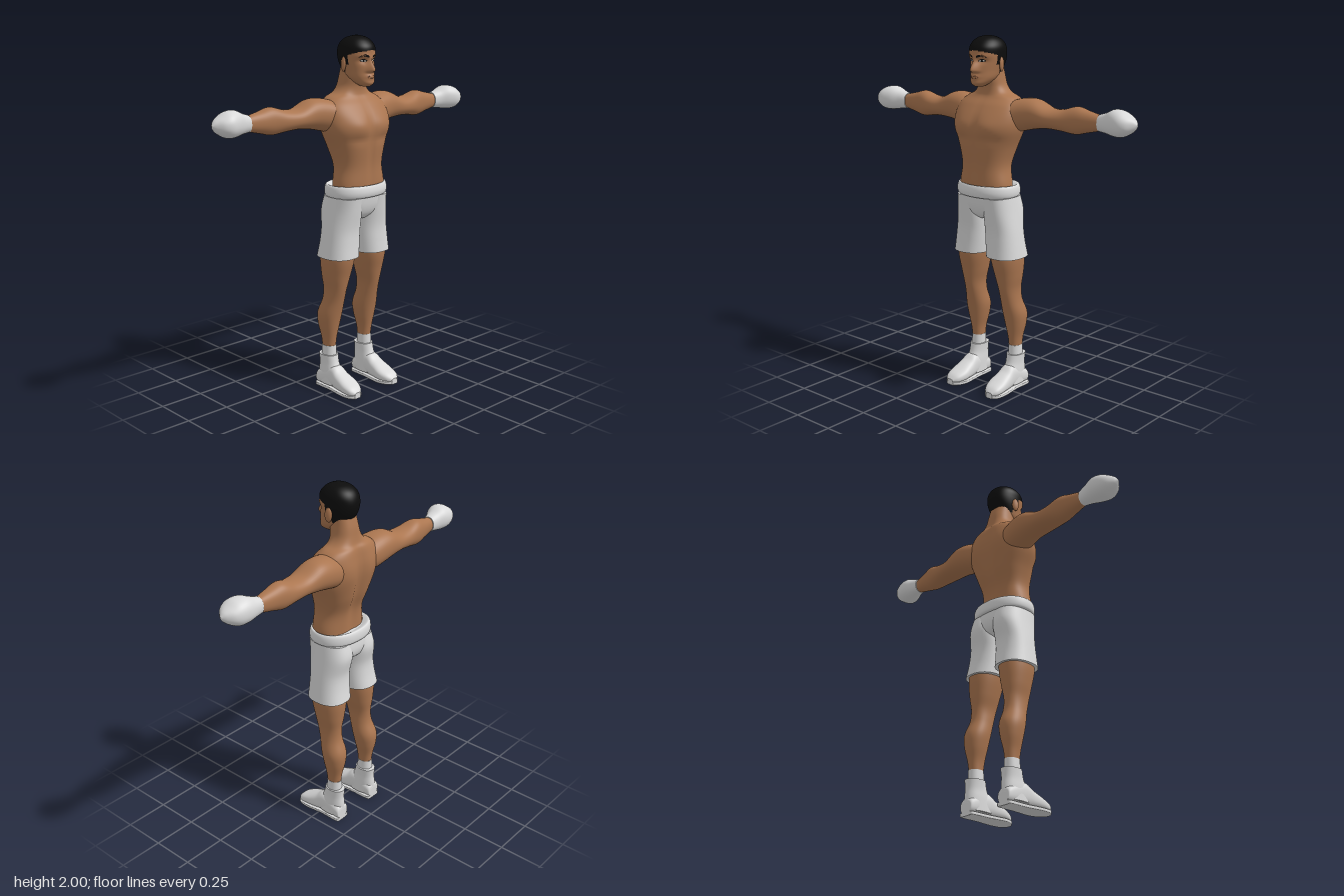
import * as THREE from 'three';

const mat = (name, color) => Object.assign(new THREE.MeshStandardMaterial({ color }), { name });
const g = (d, s) => Math.exp(-(d * d) / (2 * s * s));
const ramp = THREE.MathUtils.smoothstep;

// Smooth tube along axis k (0 x, 1 y, 2 z). Row: [t, aMin, aMax, bMin, bMax],
// where a and b are the next two axes in cyclic order. n is the superellipse power.
function loft(k, rows, { n = 2.2, segs = 40, steps = 6, shape, pick } = {}) {
  if (rows[0][0] > rows[rows.length - 1][0]) rows = [...rows].reverse();
  const cr = (p0, p1, p2, p3, t) => 0.5 * (2 * p1 + (p2 - p0) * t
    + (2 * p0 - 5 * p1 + 4 * p2 - p3) * t * t + (3 * p1 - p0 - 3 * p2 + p3) * t * t * t);
  const last = rows.length - 1, count = last * steps, pos = [], idx = [[], []];
  const at = i => pos.slice(i * 3, i * 3 + 3);
  const face = (...f) => {
    const c = [0, 1, 2].map(d => f.reduce((s, i) => s + pos[i * 3 + d], 0) / f.length);
    const out = idx[pick ? pick(...c) : 0];
    out.push(f[0], f[1], f[2]);
    if (f.length === 4) out.push(f[0], f[2], f[3]);
  };
  for (let i = 0; i <= count; i++) {
    const s = Math.min(Math.floor(i / steps), last - 1), u = i / steps - s;
    const [t, a0, a1, b0, b1] = rows[0].map((_, c) => cr(rows[Math.max(s - 1, 0)][c], rows[s][c],
      rows[s + 1][c], rows[Math.min(s + 2, last)][c], u));
    for (let j = 0; j < segs; j++) {
      const th = j / segs * Math.PI * 2, pw = v => Math.sign(v) * Math.abs(v) ** (2 / n);
      const p = new THREE.Vector3();
      p.setComponent(k, t);
      p.setComponent((k + 1) % 3, (a0 + a1) / 2 + (a1 - a0) / 2 * pw(Math.cos(th)));
      p.setComponent((k + 2) % 3, (b0 + b1) / 2 + (b1 - b0) / 2 * pw(Math.sin(th)));
      if (shape) shape(p);
      pos.push(p.x, p.y, p.z);
    }
  }
  for (let i = 0; i < count; i++) for (let j = 0; j < segs; j++) {
    const a = i * segs + j, b = i * segs + (j + 1) % segs;
    face(a, b, b + segs, a + segs);
  }
  // end caps with their own vertices, so the rims stay sharp
  for (const [ring, flip] of [[0, true], [count, false]]) {
    const base = pos.length / 3, mid = [0, 0, 0];
    for (let j = 0; j < segs; j++) {
      const v = at(ring * segs + j);
      pos.push(...v);
      v.forEach((x, d) => { mid[d] += x / segs; });
    }
    pos.push(...mid);
    for (let j = 0; j < segs; j++) {
      const a = base + j, b = base + (j + 1) % segs;
      flip ? face(b, a, base + segs) : face(a, b, base + segs);
    }
  }
  const geo = new THREE.BufferGeometry();
  geo.setAttribute('position', new THREE.Float32BufferAttribute(pos, 3));
  geo.setIndex([...idx[0], ...idx[1]]);
  if (pick) {
    geo.addGroup(0, idx[0].length, 0);
    geo.addGroup(idx[0].length, idx[1].length, 1);
  }
  geo.computeVertexNormals();
  return geo;
}

function mirror(geo) {
  const m = geo.clone().scale(-1, 1, 1), ix = m.index.array;
  for (let i = 0; i < ix.length; i += 3) [ix[i], ix[i + 1]] = [ix[i + 1], ix[i]];
  return m;
}

export function createModel() {
  const root = new THREE.Group();
  root.name = 'boxer';
  const skin = mat('skin', 0xab7650), white = mat('white cloth', 0xdadada), black = mat('black hair', 0x0c0c0c);
  const lips = mat('lips', 0x7c4c36), eyeWhite = mat('eye white', 0xe8e4dc);
  const add = (name, geo, material) => {
    const m = new THREE.Mesh(geo, material);
    m.name = name;
    root.add(m);
    return m;
  };
  const pair = (name, geo, material) => {
    add(name + 'Left', geo, material);
    add(name + 'Right', mirror(geo), material);
  };
  const sym = rows => rows.map(([y, z0, z1, x]) => [y, z0, z1, -x, x]);

  // Torso and neck, with chest, belly line, spine and shoulder blades
  add('torso', loft(1, sym([
    [1.12, -.09, .11, .155], [1.2, -.09, .115, .158], [1.3, -.1, .115, .142], [1.4, -.135, .124, .165],
    [1.5, -.155, .13, .205], [1.57, -.158, .112, .212], [1.63, -.15, .075, .2], [1.67, -.14, .04, .16],
    [1.695, -.125, .03, .108], [1.73, -.115, .03, .08], [1.78, -.105, .04, .07], [1.83, -.09, .03, .065],
  ]), {
    n: 2.4, segs: 80, shape: p => {
      const ax = Math.abs(p.x);
      if (p.z > 0) {
        p.z += .012 * g(ax - .085, .05) * g(p.y - 1.525, .035) - .009 * g(p.x, .014) * g(p.y - 1.4, .15)
          - .007 * g(ax - .09, .05) * g(p.y - 1.45, .015);
      } else {
        p.z += .022 * g(p.x, .024) * g(p.y - 1.43, .17) - .008 * g(ax - .1, .04) * g(p.y - 1.56, .06);
      }
    },
  }), skin);

  // Arms and gloves
  pair('arm', loft(0, [
    [.08, 1.5, 1.635, -.13, .03], [.15, 1.485, 1.66, -.148, .045], [.22, 1.5, 1.675, -.156, .03],
    [.29, 1.515, 1.672, -.155, .018], [.38, 1.525, 1.635, -.145, .012], [.46, 1.52, 1.635, -.142, 0],
    [.54, 1.51, 1.655, -.138, -.018], [.61, 1.525, 1.64, -.125, -.03], [.7, 1.545, 1.62, -.108, -.047],
  ]), skin);
  pair('glove', loft(0, [
    [.685, 1.54, 1.628, -.116, -.04], [.73, 1.535, 1.643, -.125, -.025], [.78, 1.527, 1.664, -.137, 0],
    [.83, 1.527, 1.66, -.135, .012], [.87, 1.545, 1.64, -.12, -.002], [.9, 1.568, 1.62, -.09, -.035],
    [.915, 1.59, 1.6, -.066, -.056],
  ]), white);

  // Shorts
  add('waistband', loft(1, sym([
    [1.128, -.13, .115, .165], [1.136, -.147, .131, .182], [1.16, -.151, .137, .187], [1.188, -.147, .132, .183],
    [1.198, -.135, .122, .172], [1.18, -.1, .1, .15],
  ]), { segs: 64 }), white);
  add('shortsSeat', loft(1, sym([
    [1.15, -.132, .115, .168], [1.08, -.138, .105, .172], [1.03, -.12, .085, .13], [1, -.07, .05, .07],
  ]), { n: 2.4 }), white);
  pair('shortsLeg', loft(1, [
    [1.13, -.13, .112, .005, .172], [1.05, -.147, .1, .001, .184], [.95, -.127, .085, .003, .2],
    [.87, -.13, .085, .007, .211], [.79, -.145, .09, .013, .222],
  ], { n: 2.4 }), white);

  // Legs
  pair('leg', loft(1, [
    [.9, -.12, .075, .03, .2], [.78, -.132, .074, .036, .205], [.68, -.125, .052, .055, .195],
    [.6, -.115, .034, .075, .182], [.53, -.12, .015, .076, .185], [.45, -.15, -.005, .072, .2],
    [.38, -.148, -.02, .082, .194], [.3, -.13, -.035, .1, .177], [.22, -.12, -.045, .105, .17],
  ]), skin);

  // Socks and shoes
  pair('sock', loft(1, [[.15, -.127, -.035, .1, .178], [.255, -.126, -.04, .102, .174]]), white);
  pair('shoeAnkle', loft(1, [
    [.03, -.15, .03, .09, .19], [.1, -.149, .012, .092, .186], [.15, -.145, -.015, .095, .182],
    [.2, -.148, -.028, .092, .184],
  ]), white);
  const footRows = [
    [-.15, .11, .175, .015, .07], [-.135, .095, .188, .012, .1], [-.03, .092, .188, .01, .145],
    [.03, .087, .195, .01, .113], [.09, .083, .2, .01, .084], [.14, .1, .192, .01, .06], [.165, .128, .168, .018, .035],
  ];
  pair('shoeFoot', loft(2, footRows, { n: 2.5 }), white);
  pair('shoeSole', loft(2, footRows.map(([z, a, b]) => [z, a - .003, b + .003, 0, .022]), { n: 6 }), white);

  // Head: shaped face, with hair above the hairline
  const hairline = z => z < -.01 ? 1.803 : z < .025 ? 1.85 : 1.9 + (z - .025) * .28;
  const head = add('head', loft(1, sym([
    [1.733, .035, .098, .022], [1.75, 0, .117, .045], [1.78, -.05, .111, .067], [1.82, -.085, .107, .077],
    [1.86, -.107, .105, .086], [1.9, -.115, .109, .091], [1.94, -.108, .106, .09], [1.97, -.088, .084, .074],
    [1.99, -.054, .053, .048], [2, -.012, .015, .012],
  ]), {
    n: 2.1, segs: 112, steps: 10, pick: (x, y, z) => (y > hairline(z) ? 1 : 0),
    shape: p => {
      if (p.z < .04) return;
      const ax = Math.abs(p.x), down = 1 - ramp(p.y, 1.822, 1.89);
      p.z += (.006 + .03 * down) * g(p.x, .009 + .007 * down) * ramp(p.y, 1.802, 1.82) * (1 - ramp(p.y, 1.88, 1.9))
        - .011 * g(ax - .037, .017) * g(p.y - 1.87, .012) + .009 * g(p.x, .022) * g(p.y - 1.785, .011)
        + .004 * g(ax - .035, .025) * g(p.y - 1.895, .008);
    },
  }), [skin, black]);

  // Ears
  const ear = new THREE.SphereGeometry(1, 16, 12).scale(.011, .04, .021).rotateY(.3).translate(.092, 1.85, -.005);
  pair('ear', ear, skin);

  // Thin face details laid on the head surface
  const ray = new THREE.Raycaster();
  const decal = (name, pts, material, lift) => {
    const curve = new THREE.CatmullRomCurve3(pts.map(([x, y]) => new THREE.Vector3(x, y, 0)), true);
    const geo = new THREE.ShapeGeometry(new THREE.Shape(curve.getPoints(28).slice(0, -1).map(v => new THREE.Vector2(v.x, v.y))));
    const p = geo.attributes.position;
    for (let i = 0; i < p.count; i++) {
      ray.set(new THREE.Vector3(p.getX(i), p.getY(i), 1), new THREE.Vector3(0, 0, -1));
      const hit = ray.intersectObject(head)[0];
      p.setZ(i, (hit ? hit.point.z : .08) + lift);
    }
    geo.computeVertexNormals();
    add(name, geo, material);
  };
  for (const [side, s] of [['Left', 1], ['Right', -1]]) {
    const f = pts => pts.map(([x, y]) => [x * s, y]);
    decal('eyebrow' + side, f([[.014, 1.887], [.04, 1.894], [.066, 1.888], [.042, 1.903], [.015, 1.897]]), black, .003);
    decal('eyeOutline' + side, f([[.018, 1.869], [.036, 1.864], [.056, 1.871], [.037, 1.881]]), black, .002);
    decal('eyeWhite' + side, f([[.022, 1.869], [.036, 1.866], [.052, 1.871], [.037, 1.876]]), eyeWhite, .004);
    decal('iris' + side, f([[.032, 1.871], [.037, 1.866], [.042, 1.871], [.037, 1.876]]), black, .006);
  }
  decal('mouth', [[-.028, 1.785], [-.01, 1.791], [0, 1.789], [.01, 1.791], [.028, 1.785], [0, 1.777]], lips, .002);

  return root;
}
